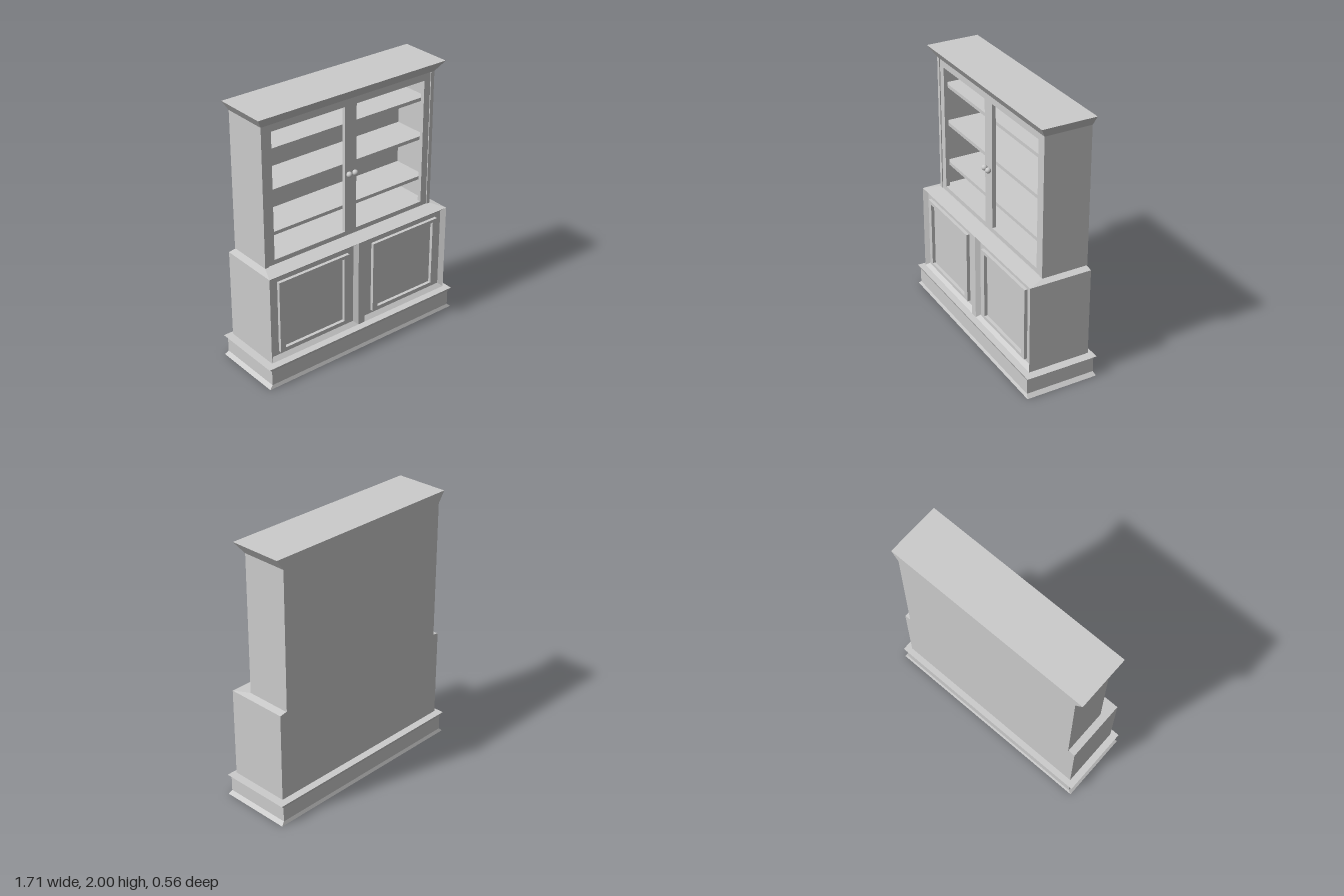
import * as THREE from 'three';

const material = new THREE.MeshStandardMaterial({ color: 0xcccccc, flatShading: true });

function addMesh(parent, name, geometry, mat = material) {
  const mesh = new THREE.Mesh(geometry, mat);
  mesh.name = name;
  parent.add(mesh);
  return mesh;
}

// Box given by its extents
function addBox(parent, name, x0, x1, y0, y1, z0, z1) {
  const mesh = addMesh(parent, name, new THREE.BoxGeometry(x1 - x0, y1 - y0, z1 - z0));
  mesh.position.set((x0 + x1) / 2, (y0 + y1) / 2, (z0 + z1) / 2);
  return mesh;
}

// Joins rectangles [x0, x1, y0, y1, z] into a mitred moulding facing +z
function loft(levels, capped) {
  const loops = levels.map(([x0, x1, y0, y1, z]) => [[x0, y0, z], [x1, y0, z], [x1, y1, z], [x0, y1, z]]);
  const pos = [];
  const quad = (a, b, c, d) => pos.push(...a, ...b, ...c, ...a, ...c, ...d);
  for (let k = 0; k + 1 < loops.length; k++) {
    const a = loops[k], b = loops[k + 1];
    for (let i = 0; i < 4; i++) {
      const j = (i + 1) % 4;
      quad(a[i], a[j], b[j], b[i]);
    }
  }
  if (capped) {
    const first = loops[0];
    quad(first[3], first[2], first[1], first[0]);
    quad(...loops[loops.length - 1]);
  }
  const geometry = new THREE.BufferGeometry();
  geometry.setAttribute('position', new THREE.Float32BufferAttribute(pos, 3));
  geometry.computeVertexNormals();
  return geometry;
}

// Solid of stacked horizontal rectangles [y, half width, back z, front z]
function stack(levels) {
  return loft(levels.map(([y, w, back, front]) => [-w, w, -front, -back, y]), true).rotateX(-Math.PI / 2);
}

// Rectangle spanning xa..xb on one side of the model
const sideRect = (s, xa, xb, y0, y1, z) => [Math.min(s * xa, s * xb), Math.max(s * xa, s * xb), y0, y1, z];

export function createModel() {
  const model = new THREE.Group();
  model.name = 'displayCabinet';

  // Plinth with flared lips at top and bottom
  addMesh(model, 'plinth', stack([
    [0, 0.855, -0.278, 0.28],
    [0.025, 0.828, -0.268, 0.27],
    [0.14, 0.828, -0.268, 0.27],
    [0.165, 0.855, -0.278, 0.28],
  ]));

  // Lower cupboard
  const lower = new THREE.Group();
  lower.name = 'lowerCupboard';
  model.add(lower);
  addBox(lower, 'cupboardBody', -0.805, 0.805, 0.18, 0.86, -0.235, 0.21);
  addMesh(lower, 'counterTop', stack([[0.86, 0.805, -0.235, 0.24], [0.87, 0.75, -0.235, 0.117]]));
  for (const s of [-1, 1]) {
    // Surround bevelled inwards to the door
    addMesh(lower, 'doorSurround', loft([
      sideRect(s, 0, 0.805, 0.18, 0.86, 0.21),
      sideRect(s, 0, 0.805, 0.18, 0.86, 0.24),
      sideRect(s, 0.03, 0.805, 0.18, 0.86, 0.24),
      sideRect(s, 0.055, 0.775, 0.207, 0.833, 0.21),
    ]));
    // Raised moulding on the door
    addMesh(lower, 'panelMoulding', loft([
      sideRect(s, 0.11, 0.722, 0.235, 0.8, 0.21),
      sideRect(s, 0.11, 0.722, 0.235, 0.8, 0.235),
      sideRect(s, 0.154, 0.68, 0.26, 0.775, 0.235),
      sideRect(s, 0.154, 0.68, 0.26, 0.775, 0.21),
    ]));
  }

  // Upper display case
  const upper = new THREE.Group();
  upper.name = 'upperCase';
  model.add(upper);
  addBox(upper, 'backPanel', -0.72, 0.72, 0.87, 1.92, -0.24, -0.215);
  addBox(upper, 'caseFloor', -0.72, 0.72, 0.87, 0.9, -0.215, 0.08);
  addBox(upper, 'caseCeiling', -0.72, 0.72, 1.89, 1.92, -0.215, 0.08);
  for (const y of [1.07, 1.392, 1.695]) {
    addBox(upper, 'shelf', -0.72, 0.72, y, y + 0.026, -0.215, 0.07);
  }

  const knobMaterial = new THREE.MeshStandardMaterial({ color: 0xcccccc });
  for (const s of [-1, 1]) {
    addBox(upper, 'sidePanel', s * 0.735 - 0.015, s * 0.735 + 0.015, 0.87, 1.92, -0.24, 0.117);

    // Open door frame
    const frame = new THREE.Shape([
      new THREE.Vector2(0, 0.87), new THREE.Vector2(s * 0.72, 0.87),
      new THREE.Vector2(s * 0.72, 1.92), new THREE.Vector2(0, 1.92),
    ]);
    frame.holes.push(new THREE.Path([
      new THREE.Vector2(s * 0.05, 0.905), new THREE.Vector2(s * 0.05, 1.865),
      new THREE.Vector2(s * 0.665, 1.865), new THREE.Vector2(s * 0.665, 0.905),
    ]));
    const door = addMesh(upper, 'upperDoor', new THREE.ExtrudeGeometry(frame, { depth: 0.03, bevelEnabled: false }));
    door.position.z = 0.08;

    const knob = addMesh(upper, 'doorKnob', new THREE.SphereGeometry(0.021, 20, 14), knobMaterial);
    knob.position.set(s * 0.026, 1.357, 0.128);
  }

  // Cornice, flush at the back
  addMesh(model, 'cornice', stack([[1.92, 0.75, -0.24, 0.117], [2, 0.805, -0.24, 0.17]]));

  return model;
}
